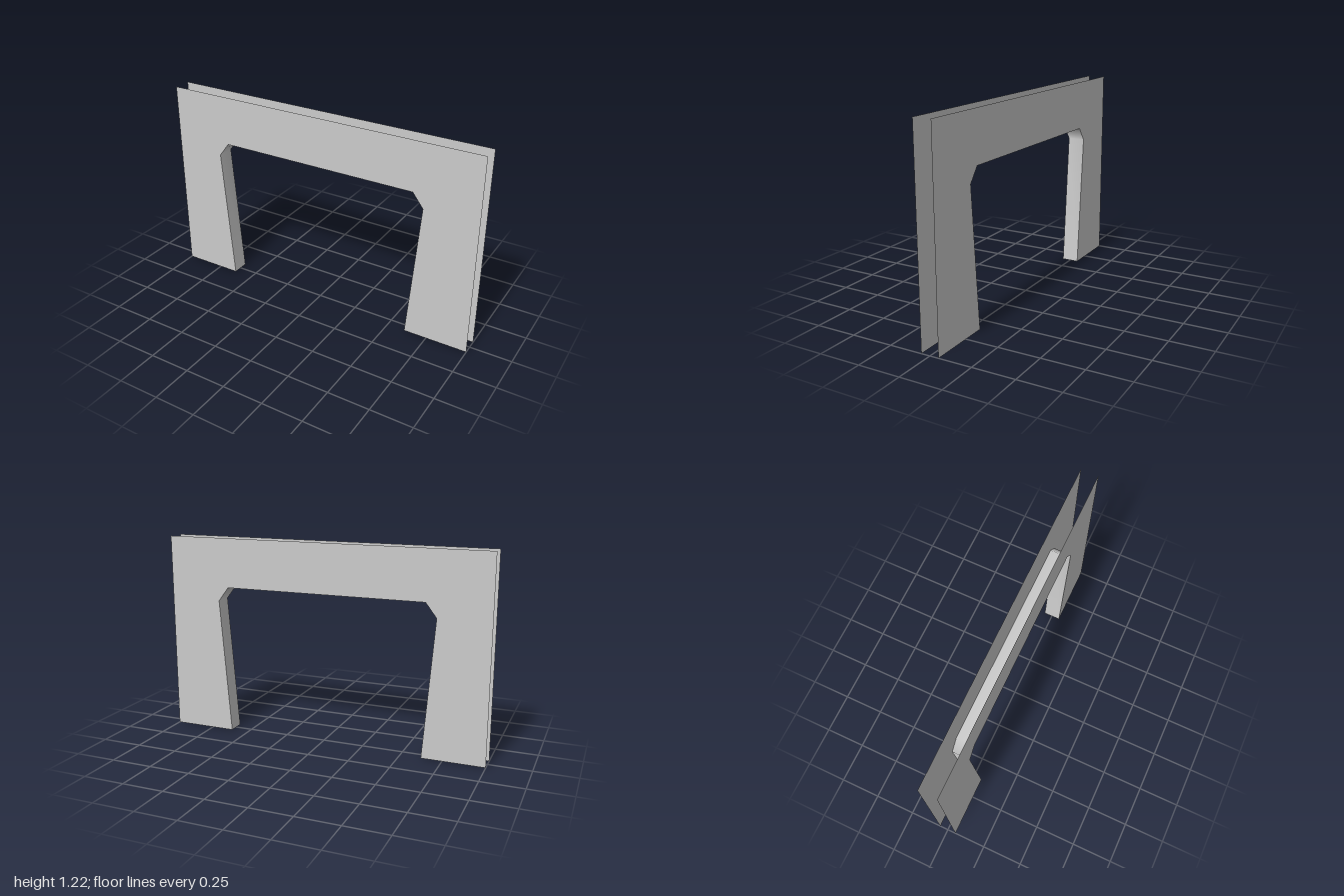
import * as THREE from 'three';

const HEIGHT = 1.215;
const HALF_DEPTH = 0.053;

// Outline of the opening, from the foot at -x, over the top, to the foot at +x
const opening = [
  [-0.625, 0], [-0.69, 0.83], [-0.625, 0.915],
  [0.61, 0.915], [0.675, 0.83], [0.61, 0],
];

const material = new THREE.MeshStandardMaterial({ color: 0xcccccc, side: THREE.DoubleSide });

// Flat wall sheet around the opening; side is 1 for the front, -1 for the back
function wallSheet(name, side) {
  const outline = [[-1, 0], ...opening, [1, 0], [1, HEIGHT], [-1, HEIGHT]];
  const shape = new THREE.Shape(outline.map(([x, y]) => new THREE.Vector2(side * x, y)));
  const sheet = new THREE.Mesh(new THREE.ShapeGeometry(shape), material);
  sheet.name = name;
  sheet.position.z = side * HALF_DEPTH;
  if (side < 0) sheet.rotation.y = Math.PI;
  return sheet;
}

// Smoothly shaded strip lining the opening between the two sheets
function openingLining() {
  const n = opening.length;
  const geometry = new THREE.PlaneGeometry(1, 1, n - 1, 1);
  const position = geometry.attributes.position;
  for (let i = 0; i < position.count; i++) {
    const [x, y] = opening[i % n];
    position.setXYZ(i, x, y, i < n ? HALF_DEPTH : -HALF_DEPTH);
  }
  geometry.computeVertexNormals();
  const lining = new THREE.Mesh(geometry, material);
  lining.name = 'openingLining';
  return lining;
}

export function createModel() {
  const group = new THREE.Group();
  group.name = 'doorwayArch';
  group.add(wallSheet('frontWall', 1), wallSheet('backWall', -1), openingLining());
  return group;
}
